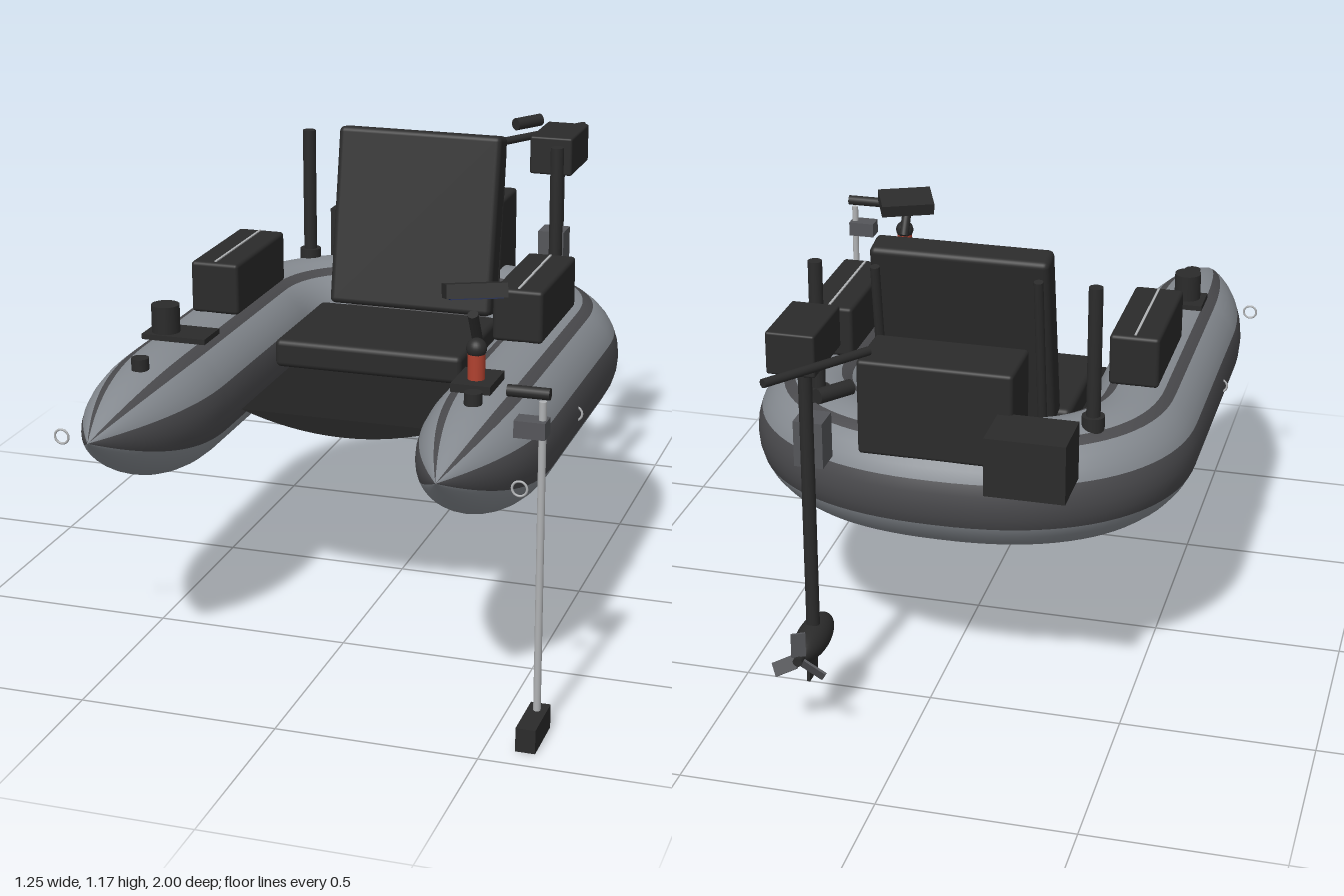
import * as THREE from 'three';
import { RoundedBoxGeometry } from 'three/addons/geometries/RoundedBoxGeometry.js';

const paint = (name, color) => Object.assign(new THREE.MeshStandardMaterial({ color }), { name });

export function createModel() {
  const model = new THREE.Group();
  model.name = 'pontoonBoat';
  const hullGrey = paint('hullGrey', 0x858a90);
  const bandGrey = paint('bandGrey', 0x4a4a4d);
  const black = paint('black', 0x2b2b2b);
  const midGrey = paint('midGrey', 0x55565a);
  const metal = paint('metal', 0xb0b2b4);
  const red = paint('red', 0xb0412f);
  const blue = paint('screenBlue', 0x14224a);
  const floorBlack = paint('floorBlack', 0x222222);
  floorBlack.side = THREE.DoubleSide;

  const cx = -0.03; // centre line of the hull
  const V = (x, y, z) => new THREE.Vector3(x, y, z);
  const add = (name, geo, mat, x = 0, y = 0, z = 0, parent = model) => {
    const m = new THREE.Mesh(geo, mat);
    m.name = name;
    m.position.set(x, y, z);
    parent.add(m);
    return m;
  };
  // box given by its ranges, rounded when r > 0
  const box = (name, mat, [x0, x1], [y0, y1], [z0, z1], r = 0) => {
    const s = [x1 - x0, y1 - y0, z1 - z0];
    const geo = r ? new RoundedBoxGeometry(...s, 3, r) : new THREE.BoxGeometry(...s);
    return add(name, geo, mat, (x0 + x1) / 2, (y0 + y1) / 2, (z0 + z1) / 2);
  };
  const rod = (name, mat, a, b, r, r2 = r) => {
    const d = b.clone().sub(a);
    const m = add(name, new THREE.CylinderGeometry(r2, r, d.length(), 20), mat);
    m.position.copy(a).add(b).multiplyScalar(0.5);
    m.quaternion.setFromUnitVectors(V(0, 1, 0), d.normalize());
    return m;
  };

  // Inflated U-shaped tube: rings swept along the path, tapering to both bows
  const half = [];
  const legSteps = 20, archSteps = 22;
  for (let i = 0; i <= legSteps; i++) {
    const t = 1 - i / legSteps;
    half.push({ p: V(0.425, 0.61 + 0.06 * t * t, 0.5 + 0.5 * t), r: 0.16 * (1 - t ** 2.2) + 0.0005 });
  }
  for (const z of [0.3, 0.1]) half.push({ p: V(0.425, 0.61, z), r: 0.16 });
  for (let i = 0; i <= archSteps; i++) {
    const a = (i / archSteps) * Math.PI / 2;
    const c = Math.max(Math.cos(a), 0) ** 0.85, s = Math.sin(a) ** 0.85;
    half.push({ p: V(i === archSteps ? 0 : 0.425 * c, 0.61, -0.08 - 0.352 * s), r: 0.16 });
  }
  const rings = half.concat(half.slice(0, -1).reverse().map(({ p, r }) => ({ p: V(-p.x, p.y, p.z), r })));
  const N = 32, pos = [];
  rings.forEach(({ p, r }, i) => {
    const T = rings[Math.min(i + 1, rings.length - 1)].p.clone().sub(rings[Math.max(i - 1, 0)].p);
    T.y = 0;
    const S = T.normalize().cross(V(0, 1, 0));
    for (let k = 0; k < N; k++) {
      const a = (k / N) * Math.PI * 2;
      pos.push(p.x + S.x * r * Math.cos(a), p.y + 0.985 * r * Math.sin(a), p.z + S.z * r * Math.cos(a));
    }
  });
  // rub bands on both sides and two stripes along the top
  const dark = new Set([0, 1, 30, 31, 14, 15, 16, 17, 5, 10]);
  const faces = [[], []];
  for (let i = 0; i < rings.length - 1; i++) {
    for (let k = 0; k < N; k++) {
      const a = i * N + k, d = i * N + (k + 1) % N, b = a + N, c = d + N;
      faces[dark.has(k) ? 1 : 0].push(a, b, c, a, c, d);
    }
  }
  const tube = new THREE.BufferGeometry();
  tube.setAttribute('position', new THREE.Float32BufferAttribute(pos, 3));
  tube.setIndex(faces[0].concat(faces[1]));
  tube.addGroup(0, faces[0].length, 0);
  tube.addGroup(faces[0].length, faces[1].length, 1);
  tube.computeVertexNormals();
  add('inflatedTube', tube, [hullGrey, bandGrey], cx);

  // Sagging floor between the tubes
  const sag = new THREE.Shape();
  sag.moveTo(-0.27, 0.575);
  sag.quadraticCurveTo(0, 0.48, 0.27, 0.575);
  sag.closePath();
  add('floor', new THREE.ExtrudeGeometry(sag, { depth: 0.7, bevelEnabled: false, curveSegments: 16 }), floorBlack, cx, 0, -0.285);

  // Seat
  box('seatCushion', black, [-0.285, 0.223], [0.625, 0.7], [-0.16, 0.21], 0.015);
  const back = add('seatBack', new RoundedBoxGeometry(0.457, 0.485, 0.08, 3, 0.015), black, cx, 0.93, -0.237);
  back.rotation.x = -0.2;

  // Fittings mirrored on both sides
  for (const s of [-1, 1]) {
    rod('seatBrace', black, V(cx + s * 0.208, 0.72, -0.275), V(cx + s * 0.208, 1.12, -0.337), 0.012);
    const px = cx + s * 0.356;
    rod('rodHolder', black, V(px, 0.75, -0.36), V(px, 1.13, -0.36), 0.018);
    rod('rodHolderCollar', black, V(px, 0.745, -0.36), V(px, 0.79, -0.36), 0.029);
    const bx = cx + s * 0.408;
    box('sideBag', black, [bx - 0.065, bx + 0.065], [0.765, 0.902], [-0.113, 0.238], 0.01);
    box('bagZip', metal, [bx - 0.003, bx + 0.003], [0.9, 0.905], [-0.1, 0.225]);
    rod('airValve', black, V(cx + s * 0.423, 0.735, 0.69), V(cx + s * 0.423, 0.785, 0.69), 0.022);
    for (const z of [0.29, 0.83]) {
      add('towRing', new THREE.TorusGeometry(0.018, 0.003, 8, 24), metal, cx + s * 0.575, 0.612, z);
    }
  }

  // Rear cargo
  box('rearBag', black, [-0.227, 0.165], [0.71, 0.96], [-0.555, -0.38], 0.01);
  box('batteryBox', black, [-0.39, -0.19], [0.705, 0.857], [-0.693, -0.545]);

  // Cup holder
  box('cupPlate', black, [-0.525, -0.355], [0.772, 0.786], [0.415, 0.515]);
  rod('cup', black, V(-0.475, 0.78, 0.475), V(-0.475, 0.857, 0.475), 0.036);

  // Sounder on its mount
  box('sounderPlate', black, [0.325, 0.423], [0.765, 0.786], [0.52, 0.65]);
  rod('sounderPost', red, V(0.374, 0.78, 0.597), V(0.374, 0.855, 0.597), 0.021);
  add('sounderBall', new THREE.SphereGeometry(0.025, 24, 16), black, 0.374, 0.862, 0.597);
  rod('sounderArm', black, V(0.36, 0.865, 0.54), V(0.36, 0.94, 0.583), 0.013);
  const sounder = new THREE.Group();
  sounder.name = 'sounder';
  sounder.position.set(0.344, 0.978, 0.512);
  sounder.rotation.set(-0.25, 0.42, 0, 'YXZ');
  model.add(sounder);
  add('sounderCase', new THREE.BoxGeometry(0.148, 0.035, 0.09), black, 0, 0, 0, sounder);
  add('sounderScreen', new THREE.BoxGeometry(0.128, 0.004, 0.074), blue, 0, -0.0185, 0, sounder);

  // Stern motor
  const mx = 0.257, mz = -0.665;
  rod('motorShaft', black, V(mx, 0.25, mz), V(mx, 1.01, mz), 0.017);
  box('motorHead', black, [0.196, 0.317], [1.0, 1.107], [-0.77, -0.567], 0.006);
  box('motorMount', midGrey, [0.22, 0.294], [0.71, 0.83], [-0.66, -0.585]);
  rod('tillerArm', black, V(0.085, 1.055, -0.7), V(0.26, 1.06, -0.95), 0.011);
  rod('tillerGrip', black, V(0.063, 1.058, -0.912), V(0.118, 1.06, -0.987), 0.018);
  add('motorPod', new THREE.SphereGeometry(1, 32, 20), black, mx, 0.238, mz).scale.set(0.042, 0.042, 0.108);
  box('motorFin', black, [mx - 0.004, mx + 0.004], [0.137, 0.22], [-0.715, -0.65]);
  for (let i = 0; i < 3; i++) {
    const blade = new THREE.Group();
    blade.name = 'propellerBlade';
    blade.position.set(mx, 0.238, -0.783);
    blade.rotation.z = (i * Math.PI * 2) / 3;
    model.add(blade);
    add('blade', new THREE.BoxGeometry(0.036, 0.065, 0.006), midGrey, 0, 0.043, 0, blade).rotation.y = 0.5;
  }
  rod('propellerHub', black, V(mx, 0.238, -0.795), V(mx, 0.238, -0.76), 0.012);

  // Bow pole with foot, clamp and handle
  rod('pole', metal, V(0.597, 0.05, 0.832), V(0.597, 0.83, 0.832), 0.009);
  box('poleFoot', black, [0.573, 0.621], [0, 0.06], [0.795, 0.938]);
  box('poleClamp', midGrey, [0.535, 0.609], [0.745, 0.786], [0.807, 0.857]);
  rod('poleHandle', black, V(0.514, 0.849, 0.832), V(0.614, 0.849, 0.832), 0.014);

  return model;
}
